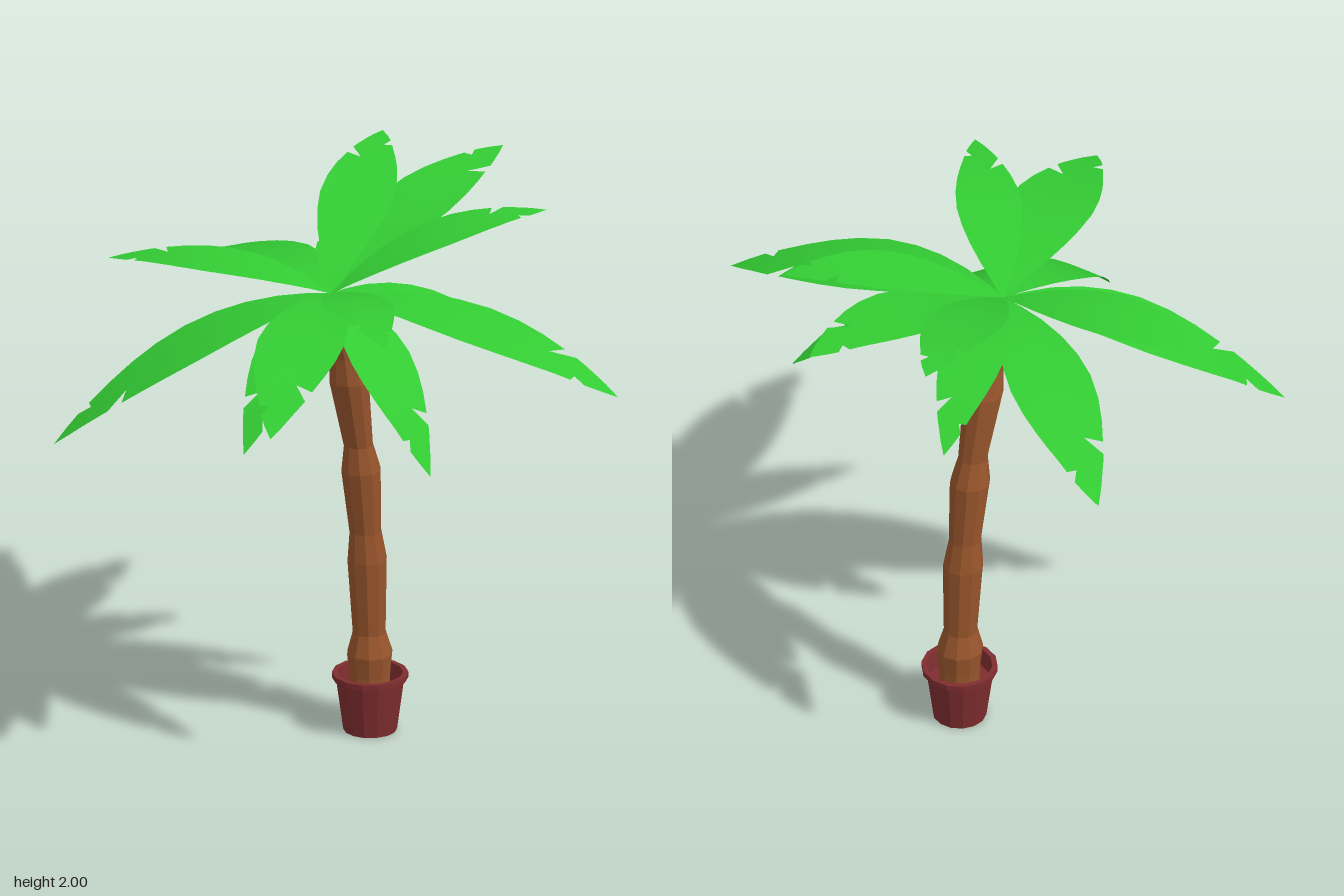
import * as THREE from 'three';

const mat = (color, extra = {}) => new THREE.MeshStandardMaterial({ color, ...extra });
const add = (parent, name, geometry, material) => {
  const mesh = new THREE.Mesh(geometry, material);
  mesh.name = name;
  parent.add(mesh);
  return mesh;
};

// Trunk rings from bottom to top: height, z of centre, radius
const RINGS = [
  [0.12, -0.21, 0.072], [0.21, -0.21, 0.074], [0.29, -0.208, 0.083], [0.37, -0.205, 0.06],
  [0.65, -0.193, 0.072], [0.76, -0.183, 0.058], [1.0, -0.158, 0.072], [1.1, -0.143, 0.053],
  [1.36, -0.09, 0.072], [1.46, -0.07, 0.057], [1.6, -0.032, 0.053], [1.7, -0.002, 0.045],
];

// Leaf half outlines: station along the midrib, half width (as fractions of length).
// Short, slanted steps in the width make the torn notches.
const SIDE_A = [
  [0, 0.006], [0.06, 0.04], [0.13, 0.078], [0.22, 0.113], [0.31, 0.135], [0.41, 0.145], [0.52, 0.137],
  [0.62, 0.119], [0.72, 0.094], [0.725, 0.035], [0.775, 0.08], [0.82, 0.066], [0.86, 0.052],
  [0.89, 0.042], [0.93, 0.028], [1, 0],
];
const SIDE_B = [
  [0, 0.006], [0.06, 0.04], [0.13, 0.078], [0.22, 0.113], [0.31, 0.135], [0.41, 0.145], [0.52, 0.137],
  [0.62, 0.119], [0.72, 0.094], [0.725, 0.092], [0.775, 0.078], [0.82, 0.066], [0.825, 0.02],
  [0.87, 0.052], [0.93, 0.03], [1, 0],
];
const SWEEP = 0.6;

const CROWN = new THREE.Vector3(-0.065, 1.72, 0.01);
// Leaf tips: x, y, z, arch height, notch side
const LEAVES = [
  [-0.97, 1.52, -0.43, 0.08, 1], [-0.86, 1.74, 0.27, 0.06, -1], [-0.72, 1.22, 0.76, 0.1, 1],
  [0.07, 1.35, 0.68, 0.1, -1], [0.41, 1.58, 0.96, 0.09, 1], [0.56, 1.82, 0.5, 0.06, -1],
  [0.56, 1.25, 0.24, 0.1, 1], [0.97, 1.48, -0.31, 0.08, 1], [0.47, 1.42, -0.51, 0.1, -1],
  [0.38, 1.94, -0.65, 0.07, 1], [-0.06, 1.98, -0.96, 0.07, -1], [-0.45, 2.0, -0.77, 0.07, 1],
  [-0.44, 1.59, -0.67, 0.1, -1],
];

function leafGeometry([x, y, z, arch, flip]) {
  const span = new THREE.Vector3(x, y, z).sub(CROWN);
  const across = new THREE.Vector3(span.z, 0, -span.x).normalize();
  const length = span.length();
  const points = [];
  const index = [];
  const put = (s, v) => {
    const t = s + SWEEP * Math.abs(v);
    const p = CROWN.clone().addScaledVector(span, t).addScaledVector(across, v * length * flip);
    p.y += arch * 4 * t * (1 - t);
    points.push(p);
  };
  SIDE_A.forEach(([s, a], i) => {
    put(s, a);
    put(s, 0);
    put(SIDE_B[i][0], -SIDE_B[i][1]);
    if (i === 0) return;
    const k = 3 * (i - 1);
    for (const j of [k, k + 1]) {
      // Keep the upper face in front whichever way the leaf is mirrored
      if (flip > 0) index.push(j, j + 3, j + 1, j + 1, j + 3, j + 4);
      else index.push(j, j + 1, j + 3, j + 1, j + 4, j + 3);
    }
  });
  const geometry = new THREE.BufferGeometry().setFromPoints(points);
  geometry.setIndex(index);
  geometry.computeVertexNormals();
  // Make sure the normals point upwards
  if (geometry.attributes.normal.getY(13) < 0) {
    geometry.setIndex(index.reverse());
    geometry.computeVertexNormals();
  }
  return geometry;
}

function trunkGeometry() {
  const rows = RINGS.length - 1;
  const geometry = new THREE.CylinderGeometry(1, 1, 1, 10, rows);
  const pos = geometry.attributes.position;
  for (let i = 0; i < pos.count; i++) {
    const [y, z, r] = RINGS[Math.round((pos.getY(i) + 0.5) * rows)];
    pos.setXYZ(i, -0.065 + pos.getX(i) * r, y, z + pos.getZ(i) * r);
  }
  geometry.computeVertexNormals();
  return geometry;
}

export function createModel() {
  const model = new THREE.Group();
  model.name = 'pottedPalm';

  // Pot with a rim and a sunken inside
  const profile = [
    [0, 0], [0.095, 0], [0.121, 0.195], [0.135, 0.195], [0.135, 0.215],
    [0.116, 0.215], [0.108, 0.15], [0, 0.15],
  ].map(([r, y]) => new THREE.Vector2(r, y));
  const pot = add(model, 'pot', new THREE.LatheGeometry(profile, 14), mat(0x7f2d2f, { flatShading: true }));
  pot.position.set(-0.065, 0, -0.21);

  // Leaning, knotted trunk
  add(model, 'trunk', trunkGeometry(), mat(0x98552c, { flatShading: true }));

  // Crown of arched leaves
  const crown = new THREE.Group();
  crown.name = 'crown';
  model.add(crown);
  const green = mat(0x33cc33, { side: THREE.DoubleSide });
  LEAVES.forEach((leaf, i) => add(crown, `leaf${i + 1}`, leafGeometry(leaf), green));

  return model;
}
